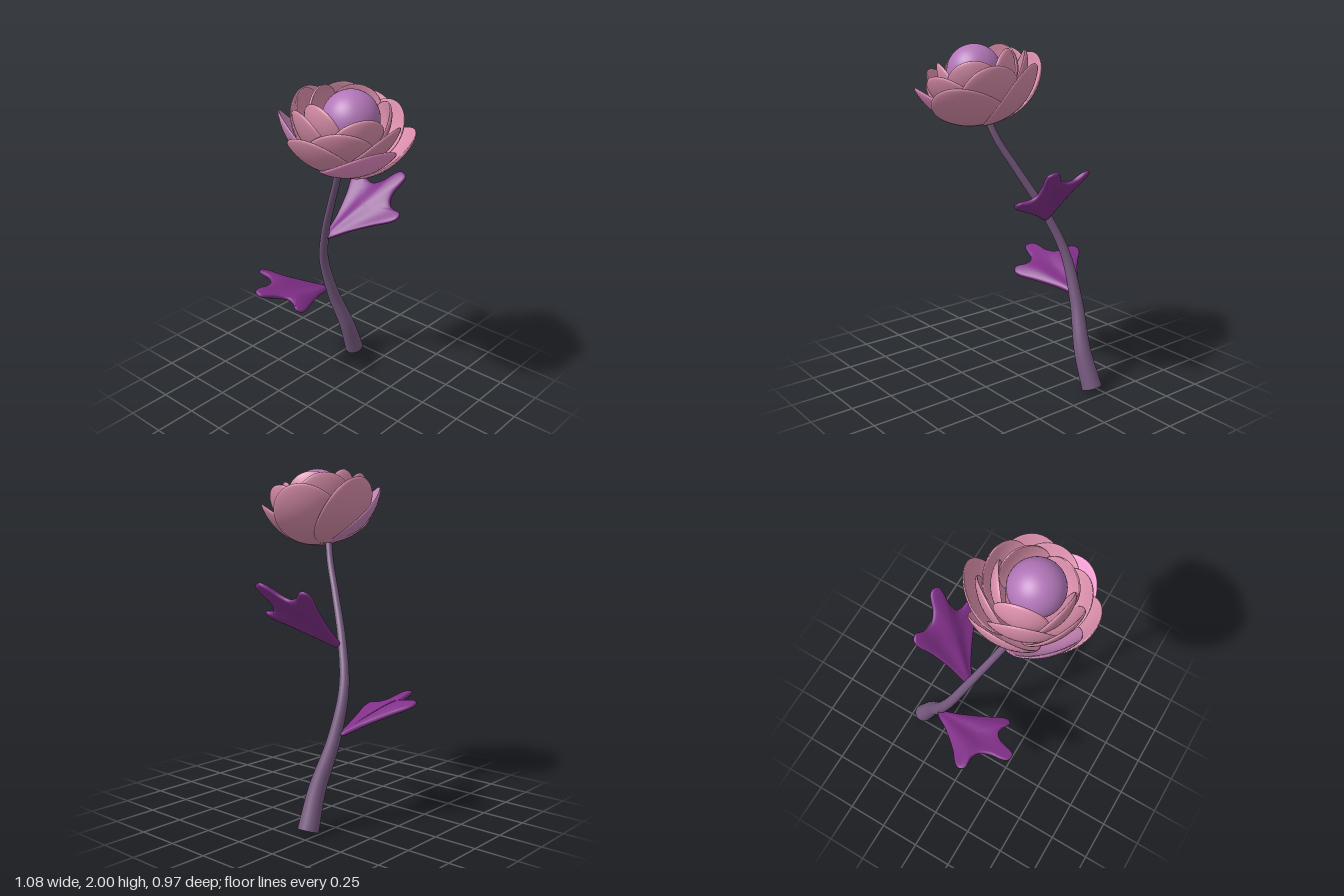
import * as THREE from 'three';
import { mergeVertices } from 'three/addons/utils/BufferGeometryUtils.js';

const V3 = (x, y, z) => new THREE.Vector3(x, y, z);
const mat = (color) => new THREE.MeshStandardMaterial({ color });

function named(geometry, material, name) {
  const mesh = new THREE.Mesh(geometry, material);
  mesh.name = name;
  return mesh;
}

// Soft pad: a sphere whose equator follows a counter-clockwise outline in (x, y),
// with its thickness along z; bend(x, y) shifts the surface along z.
function pad(outline, cx, thickness, bend, blunt, segments) {
  const curve = new THREE.CatmullRomCurve3(outline.map(([x, y]) => V3(x, y, 0)), true, 'centripetal');
  const g = new THREE.SphereGeometry(1, segments, 24);
  const rim = curve.getSpacedPoints(segments);
  const p = g.attributes.position, uv = g.attributes.uv;
  for (let i = 0; i < p.count; i++) {
    const h = p.getY(i), s = Math.sqrt(Math.max(0, 1 - h * h));
    const e = rim[Math.min(segments, Math.max(0, Math.round(uv.getX(i) * segments)))];
    const x = cx + (e.x - cx) * s, y = e.y * s;
    const half = Math.abs(h) < 1e-6 ? 0 : Math.sign(h) * Math.pow(Math.abs(h), blunt) * thickness;
    p.setXYZ(i, x, y, half + bend(x, y));
  }
  g.deleteAttribute('uv');
  g.deleteAttribute('normal');
  const merged = mergeVertices(g, 1e-5);
  merged.computeVertexNormals();
  return merged;
}

// Tapering, curved stem with a closed lower end
function makeStem() {
  const group = new THREE.Group();
  group.name = 'stem';
  const path = new THREE.CatmullRomCurve3([
    V3(-0.207, 0.02, -0.43), V3(-0.2, 0.23, -0.35), V3(-0.235, 0.5, -0.25), V3(-0.228, 0.77, -0.157),
    V3(-0.145, 1.01, -0.075), V3(-0.005, 1.28, 0.025), V3(0.085, 1.45, 0.085), V3(0.135, 1.59, 0.125)]);
  // Radii at even steps along the stem
  const radii = new THREE.CatmullRomCurve3([0.06, 0.047, 0.036, 0.028, 0.024, 0.021, 0.02].map((r) => V3(0, r, 0)));
  const n = 64, sides = 24;
  const g = new THREE.TubeGeometry(path, n, 1, sides);
  const p = g.attributes.position, v = V3();
  for (let i = 0; i <= n; i++) {
    const c = path.getPointAt(i / n), r = radii.getPoint(i / n).y;
    for (let j = 0; j <= sides; j++) {
      const k = i * (sides + 1) + j;
      v.fromBufferAttribute(p, k).sub(c).multiplyScalar(r).add(c);
      p.setXYZ(k, v.x, v.y, v.z);
    }
  }
  const material = mat(0x775a80);
  group.add(named(g, material, 'stalk'));
  const cap = named(new THREE.CircleGeometry(0.06, sides), material, 'stemEnd');
  cap.position.copy(path.getPointAt(0));
  cap.quaternion.setFromUnitVectors(V3(0, 0, 1), path.getTangentAt(0).negate());
  group.add(cap);
  return group;
}

// Three-lobed leaf: runs along +x from its base, unit length
const LEAF = [
  [0, -0.015], [0.22, -0.12], [0.45, -0.25], [0.62, -0.355], [0.69, -0.37], [0.74, -0.33], [0.71, -0.24],
  [0.72, -0.16], [0.8, -0.1], [0.96, -0.065], [1.01, -0.04], [1.01, 0.04], [0.95, 0.075], [0.82, 0.1],
  [0.72, 0.16], [0.69, 0.25], [0.71, 0.38], [0.66, 0.42], [0.59, 0.4], [0.45, 0.28], [0.22, 0.13], [0, 0.015]];

function makeLeaf(geometry, name, base, tip, leftLobe) {
  const leaf = named(geometry, mat(0x82308a), name);
  const x = tip.clone().sub(base), length = x.length();
  x.normalize();
  const z = x.clone().cross(leftLobe.clone().sub(base)).normalize();
  const y = z.clone().cross(x);
  leaf.quaternion.setFromRotationMatrix(new THREE.Matrix4().makeBasis(x, y, z));
  leaf.position.copy(base);
  leaf.scale.setScalar(length);
  return leaf;
}

// Oval cupped petal, from base (r, y) to tip (r, y) in the plane of the flower's axis
function makePetal(ring, azimuth, color, name) {
  const [r0, y0] = ring.base, [r1, y1] = ring.tip;
  const l = Math.hypot(r1 - r0, y1 - y0) / 2, c = ring.cup;
  const outline = [];
  for (let i = 0; i < 16; i++) {
    const t = (i / 16) * Math.PI * 2;
    outline.push([l * Math.cos(t), ring.width * Math.sin(t)]);
  }
  const g = pad(outline, 0, 0.014, (x, y) => c * (l * l - x * x - y * y), 0.5, 48);
  const a = Math.atan2(y1 - y0, r1 - r0);
  g.rotateX(ring.roll); // one edge tucks under the next petal
  g.applyMatrix4(new THREE.Matrix4().makeBasis(
    V3(Math.cos(a), Math.sin(a), 0), V3(0, 0, 1), V3(Math.sin(a), -Math.cos(a), 0)));
  g.translate((r0 + r1) / 2, (y0 + y1) / 2, 0);
  const petal = named(g, mat(color), name);
  petal.rotation.y = -THREE.MathUtils.degToRad(azimuth);
  return petal;
}

function makeFlower() {
  const flower = new THREE.Group();
  flower.name = 'flower';
  const rose = 0xdb8fac, dusty = 0xd088a2, bright = 0xea90c6, lilac = 0xcc88bc;
  const rings = [
    { name: 'outerPetal', base: [-0.01, 0], tip: [0.36, 0.29], width: 0.195, cup: 1.45, roll: 0.12,
      at: [-25, 27, 82, 128, 190, 255], colors: [rose, bright, rose, lilac, rose, rose] },
    { name: 'middlePetal', base: [0.05, 0.04], tip: [0.285, 0.345], width: 0.175, cup: 1.6, roll: 0.1,
      at: [0, 55, 110, 165, 225, 295], colors: [rose, rose, dusty, rose, dusty, rose] },
    { name: 'innerPetal', base: [0.11, 0.12], tip: [0.2, 0.385], width: 0.145, cup: 2.1, roll: 0.1,
      at: [30, 102, 174, 246, 318], colors: [rose, dusty, rose, rose, dusty] }];
  for (const ring of rings)
    ring.at.forEach((azimuth, i) => flower.add(makePetal(ring, azimuth, ring.colors[i], ring.name + (i + 1))));
  const heart = named(new THREE.SphereGeometry(0.153, 40, 28), mat(0xb276b8), 'flowerCentre');
  heart.position.set(0.02, 0.29, 0.005);
  flower.add(heart);
  flower.position.set(0.125, 1.567, 0.1);
  flower.rotation.set(0.06, 0, -0.25);
  return flower;
}

export function createModel() {
  const model = new THREE.Group();
  model.name = 'flowerOnStem';
  // Soft ridges run along the three lobes
  const ridge = (x, y) => 0.014 * Math.cos(Math.atan2(y, x + 0.02) * 11) * Math.min(1, x * 2);
  const leaf = pad(LEAF, 0.5, 0.036, ridge, 0.5, 120);
  model.add(
    makeStem(),
    makeLeaf(leaf, 'lowerLeaf', V3(-0.272, 0.53, -0.235), V3(-0.33, 0.7, 0.31), V3(-0.53, 0.69, 0.07)),
    makeLeaf(leaf, 'upperLeaf', V3(-0.14, 0.985, -0.08), V3(0.135, 1.34, -0.46), V3(-0.155, 1.31, -0.41)),
    makeFlower());
  return model;
}
